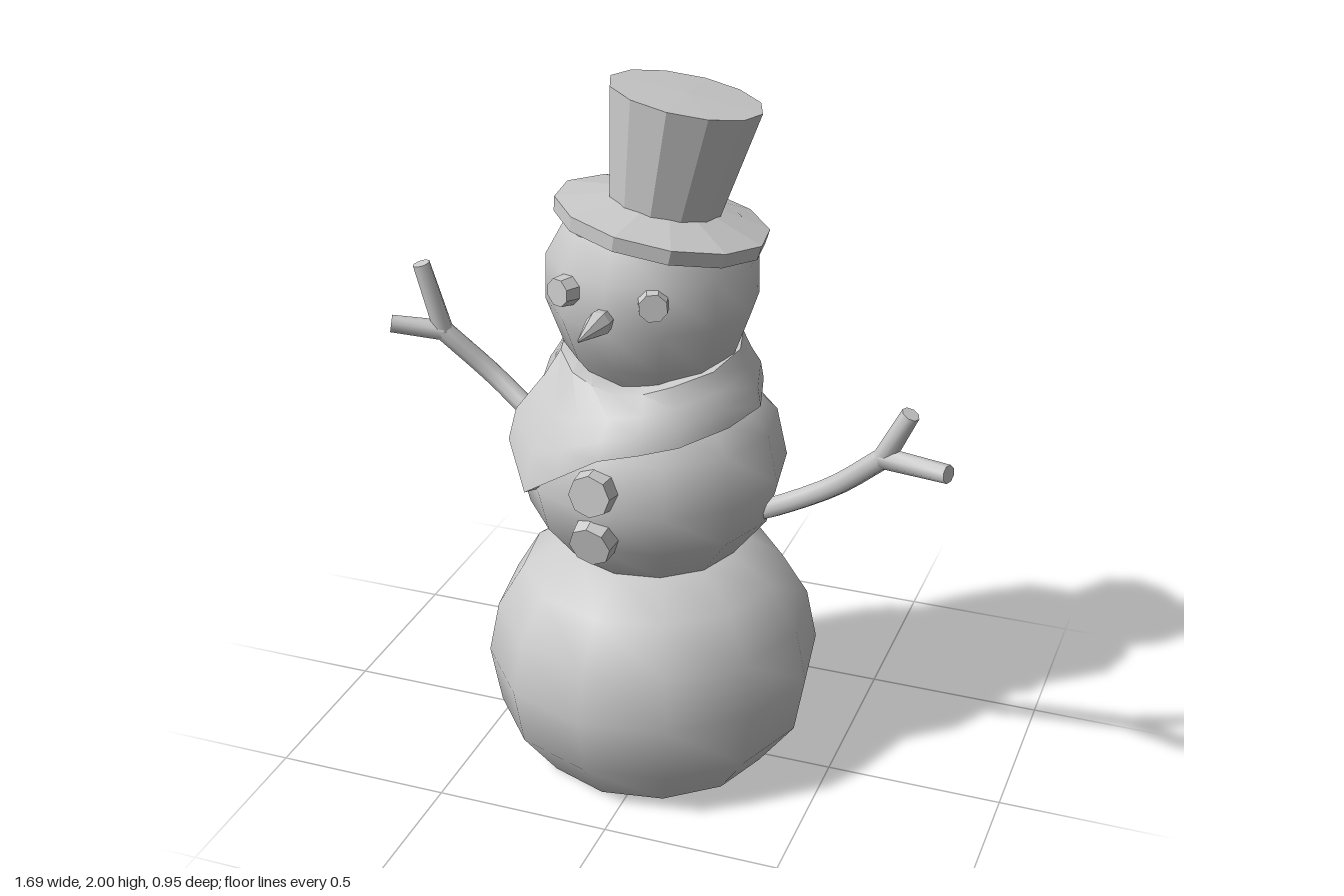
import * as THREE from 'three';
import { toCreasedNormals, mergeVertices } from 'three/addons/utils/BufferGeometryUtils.js';

const CX = -0.04; // body axis
const smooth = new THREE.MeshStandardMaterial({ color: 0xcccccc, side: THREE.DoubleSide });
const flat = new THREE.MeshStandardMaterial({ color: 0xcccccc, flatShading: true });
const v3 = (p) => new THREE.Vector3(...p);

function part(name, geometry, material = smooth) {
  const mesh = new THREE.Mesh(geometry, material);
  mesh.name = name;
  return mesh;
}

// profile is [radius, y] from bottom to top
function lathe(profile, sides = 12, start = -0.095) {
  return new THREE.LatheGeometry(profile.map(([r, y]) => new THREE.Vector2(r, y)), sides, start);
}

function snowball(name, profile) {
  const mesh = part(name, toCreasedNormals(lathe(profile), 0.8));
  mesh.position.x = CX;
  return mesh;
}

// straight round stick between two points
function stick(name, from, to, r0, r1) {
  const a = v3(from), b = v3(to), dir = b.clone().sub(a);
  const geo = toCreasedNormals(new THREE.CylinderGeometry(r1, r0, dir.length(), 8), 0.9);
  const mesh = part(name, geo);
  mesh.position.copy(a).add(b).multiplyScalar(0.5);
  mesh.quaternion.setFromUnitVectors(new THREE.Vector3(0, 1, 0), dir.normalize());
  return mesh;
}

// bent limb with a joint ball at the fork and two twigs
function arm(name, path, twigs) {
  const group = new THREE.Group();
  group.name = name;
  const curve = new THREE.CatmullRomCurve3(path.map(v3));
  group.add(part('branch', new THREE.TubeGeometry(curve, 8, 0.029, 8)));
  const fork = path[path.length - 1];
  const joint = part('fork', new THREE.SphereGeometry(0.029, 8, 6));
  joint.position.copy(v3(fork));
  group.add(joint);
  twigs.forEach((tip) => group.add(stick('twig', fork, tip, 0.029, 0.025)));
  return group;
}

// eight-sided disc facing the given direction
function disc(name, position, facing, radius, depth) {
  const mesh = part(name, new THREE.CylinderGeometry(radius * 0.9, radius, depth, 8), flat);
  mesh.position.set(...position);
  mesh.quaternion.setFromUnitVectors(new THREE.Vector3(0, 1, 0), v3(facing).normalize());
  return mesh;
}

function scarf() {
  // columns around the neck: [degrees from front, top y, bottom y, bottom radius]
  const columns = [
    [-64, 1.25, 0.99, 0.4], [-39, 1.23, 0.91, 0.405], [-20, 1.22, 1.0, 0.39],
    [-3, 1.21, 1.07, 0.37], [14, 1.22, 1.09, 0.35], [32, 1.24, 1.1, 0.33],
    [60, 1.26, 1.12, 0.315], [90, 1.28, 1.12, 0.31], [120, 1.28, 1.13, 0.31],
    [150, 1.28, 1.14, 0.31], [180, 1.28, 1.14, 0.31], [210, 1.28, 1.14, 0.31],
    [240, 1.28, 1.13, 0.31], [270, 1.27, 1.12, 0.315], [294, 1.25, 1.12, 0.31],
  ];
  // folds from top to bottom: [height fraction, flare fraction, inset]
  const rows = [[0, 0, 0.06], [0, 0, 0], [0.35, 0.4, 0], [0.65, 0.85, 0], [1, 1, 0], [1, 1, 0.08]];
  const pos = [], index = [];
  columns.forEach(([deg, top, bottom, radius], c) => {
    const a = THREE.MathUtils.degToRad(deg);
    rows.forEach(([t, f, inset], r) => {
      const rad = 0.25 + (radius - 0.25) * f - inset;
      pos.push(CX + Math.sin(a) * rad, top + (bottom - top) * t, Math.cos(a) * rad);
      if (r === rows.length - 1) return;
      const n = rows.length, i = c * n + r, j = ((c + 1) % columns.length) * n + r;
      index.push(i, i + 1, j + 1, i, j + 1, j);
    });
  });
  const geo = new THREE.BufferGeometry();
  geo.setAttribute('position', new THREE.Float32BufferAttribute(pos, 3));
  geo.setIndex(index);
  return part('scarf', toCreasedNormals(mergeVertices(geo), 0.9));
}

function hat() {
  const group = new THREE.Group();
  group.name = 'hat';
  group.add(part('brim', lathe([[0, -0.03], [0.285, -0.035], [0.29, 0.005], [0.15, 0.038], [0, 0.04]]), flat));
  group.add(part('crown', lathe([[0.15, 0.02], [0.206, 0.33], [0, 0.335]], 12, 0.1), flat));
  group.position.set(-0.01, 1.635, 0.005);
  group.rotation.set(-0.09, 0, -0.165);
  return group;
}

export function createModel() {
  const model = new THREE.Group();
  model.name = 'snowman';

  // stacked snowballs
  model.add(
    snowball('baseBall', [[0, 0], [0.34, 0], [0.445, 0.14], [0.475, 0.31], [0.445, 0.46], [0.37, 0.585], [0.24, 0.67], [0, 0.7]]),
    snowball('torsoBall', [[0.2, 0.62], [0.25, 0.67], [0.345, 0.79], [0.375, 0.91], [0.345, 1.05], [0.27, 1.13], [0, 1.19]]),
    snowball('head', [[0.17, 1.18], [0.24, 1.27], [0.288, 1.4], [0.285, 1.53], [0.235, 1.62], [0, 1.66]]),
    scarf(),
    hat(),
  );

  // face
  model.add(disc('rightEye', [-0.19, 1.49, 0.255], [-0.45, 0.05, 1], 0.043, 0.05));
  model.add(disc('leftEye', [0.062, 1.49, 0.27], [0.35, 0.05, 1], 0.043, 0.05));
  const nose = part('nose', lathe([[0.026, 0], [0.034, 0.07], [0.002, 0.21]], 7, 0), flat);
  nose.position.set(-0.072, 1.433, 0.245);
  nose.rotation.x = Math.PI / 2 - 0.05;
  model.add(nose);

  // coat buttons
  model.add(disc('upperButton', [-0.075, 0.97, 0.365], [-0.05, 0.08, 1], 0.066, 0.05));
  model.add(disc('lowerButton', [-0.078, 0.823, 0.36], [-0.05, -0.2, 1], 0.066, 0.05));

  // twig arms
  model.add(arm('rightArm',
    [[-0.33, 0.9, -0.04], [-0.42, 0.945, -0.065], [-0.56, 1.04, -0.095], [-0.7, 1.175, -0.06]],
    [[-0.75, 1.38, -0.04], [-0.835, 1.2, 0]]));
  model.add(arm('leftArm',
    [[0.27, 0.81, 0.02], [0.33, 0.845, 0.04], [0.5, 0.95, 0.065], [0.645, 1.085, 0.12]],
    [[0.715, 1.23, 0.135], [0.835, 1.107, 0.195]]));
  return model;
}
